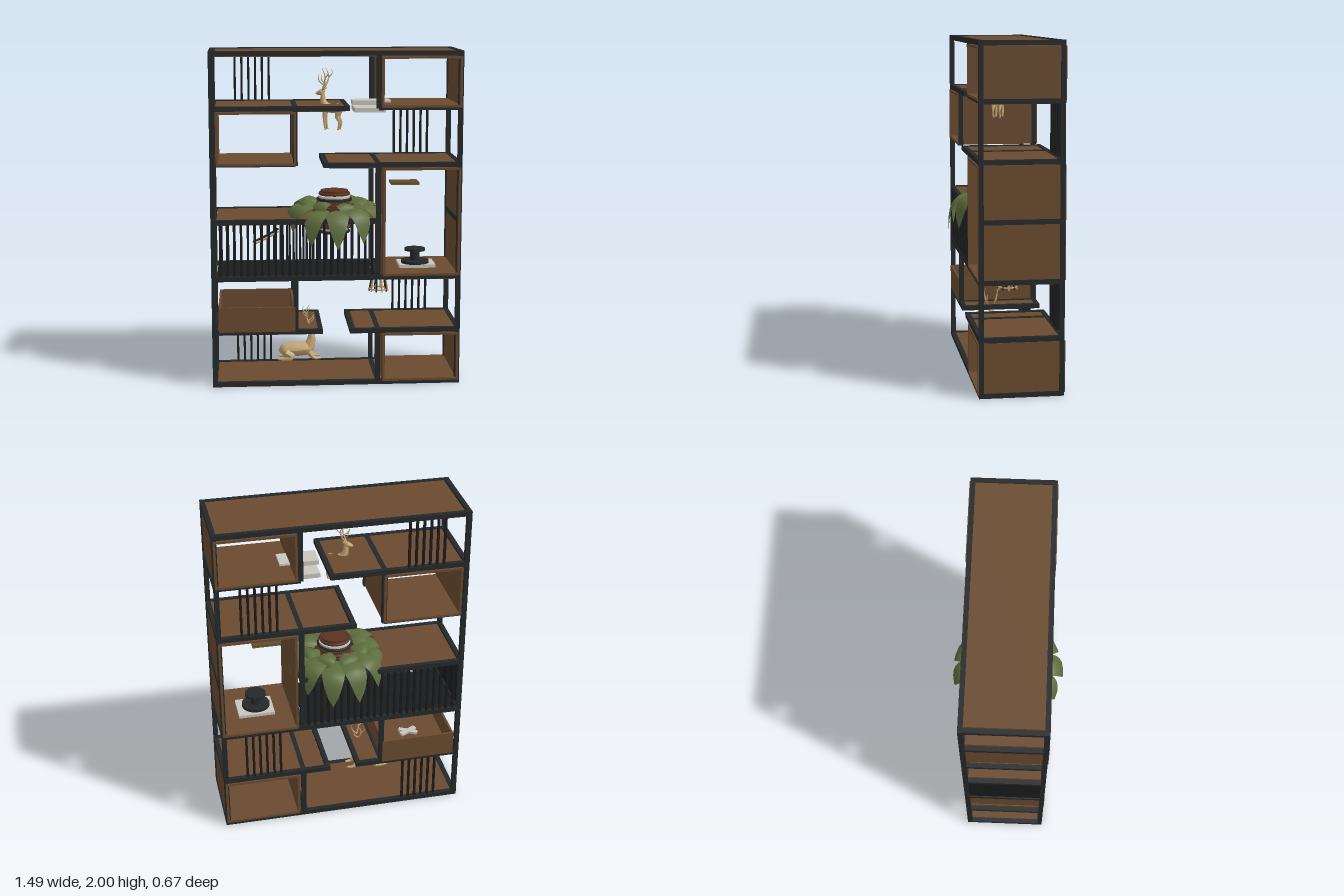
import * as THREE from 'three';

const mat = (name, color, double) => {
  const m = new THREE.MeshStandardMaterial({ color, side: double ? THREE.DoubleSide : THREE.FrontSide });
  m.name = name;
  return m;
};

export function createModel() {
  const black = mat('black metal', 0x25282a);
  const slatBlack = mat('slat black', 0x1a1b1c);
  const wood = mat('brown wood', 0x694a2f);
  const tan = mat('tan', 0xc2a473);
  const pale = mat('pale grey', 0xc9c5bc);
  const green = mat('leaf green', 0x5d6d3d, true);
  const clay = mat('red brown', 0x5a3323);

  const root = new THREE.Group();
  root.name = 'shelfUnit';
  const group = (name) => {
    const g = new THREE.Group();
    g.name = name;
    root.add(g);
    return g;
  };
  const add = (parent, name, geo, material, x = 0, y = 0, z = 0) => {
    const m = new THREE.Mesh(geo, material);
    m.name = name;
    m.position.set(x, y, z);
    parent.add(m);
    return m;
  };
  // box given by its limits on each axis
  const box = (parent, name, material, x0, x1, y0, y1, z0, z1) =>
    add(parent, name, new THREE.BoxGeometry(x1 - x0, y1 - y0, z1 - z0), material,
      (x0 + x1) / 2, (y0 + y1) / 2, (z0 + z1) / 2);

  const L = -0.745, R = 0.74, B = -0.235, F = 0.25, T = 0.028, M = 0.245;
  const levels = [0.014, 0.333, 0.66, 1.0, 1.333, 1.667, 1.986];

  // posts and side rails
  const frame = group('frame');
  const post = (x, y0, y1) => {
    for (const z of [B, F - T]) box(frame, 'post', black, x - T / 2, x + T / 2, y0, y1, z, z + T);
  };
  post(L + T / 2, 0, 2);
  post(R - T / 2, 0, 2);
  for (const [x, a, b] of [[M, 0, 1], [M, 2, 4], [M, 5, 6], [-M, 1, 2], [-M, 4, 5]]) post(x, levels[a], levels[b]);
  const crossRail = (x, y) => box(frame, 'crossRail', black, x - T / 2, x + T / 2, y - T / 2, y + T / 2, B, F);
  for (const y of levels) for (const x of [L + T / 2, R - T / 2]) crossRail(x, y);

  // shelves: front and back rails around a wooden panel
  const shelves = group('shelves');
  const shelf = (x0, x1, y, cross, panel = wood) => {
    for (const z of [B, F - T]) box(shelves, 'rail', black, x0, x1, y - T / 2, y + T / 2, z, z + T);
    box(shelves, 'shelfPanel', panel, x0 + 0.035, x1 - 0.025, y - 0.02, y + 0.009, B + 0.02, F - 0.02);
    for (const x of cross) crossRail(x, y);
  };
  shelf(L, R, levels[6], []);
  shelf(L, 0.075, levels[5], [-M, 0.061]);
  shelf(-0.08, R, levels[4], [M, -0.066]);
  shelf(L, M + T / 2, levels[3], [M]);
  shelf(L, M, levels[2], [M], slatBlack);
  shelf(M, R, levels[2], []);
  shelf(L, -0.085, levels[1], [-M, -0.099]);
  shelf(0.077, R, levels[1], [M, 0.091]);
  for (const z of [B, F - T]) box(shelves, 'rail', black, L, R, 0, T, z, z + T);
  box(shelves, 'floorPanel', wood, L + 0.03, R - 0.025, 0.004, 0.023, B + 0.02, F - 0.02);
  crossRail(M, levels[0]);
  for (const z of [B, F - T]) {
    box(shelves, 'thinRail', black, M, R, 1.656, 1.68, z, z + T);
    box(shelves, 'thinRail', black, L, -M, 1.328, 1.335, z, z + T);
  }

  // wooden compartments open at front and back
  const cubes = group('compartments');
  const compartment = (x0, x1, y0, y1) => {
    const t = 0.014, z0 = B - 0.006, z1 = F + 0.006;
    box(cubes, 'compartmentBottom', wood, x0, x1, y0, y0 + t, z0, z1);
    box(cubes, 'compartmentTop', wood, x0, x1, y1 - t, y1, z0, z1);
    box(cubes, 'compartmentSide', wood, x0, x0 + t, y0 + t, y1 - t, z0, z1);
    box(cubes, 'compartmentSide', wood, x1 - t, x1, y0 + t, y1 - t, z0, z1);
  };
  compartment(0.262, 0.733, 1.67, 1.968);
  compartment(-0.71, -0.24, 1.335, 1.65);
  compartment(0.273, 0.733, 0.667, 1.316);
  compartment(0.273, 0.733, 0.02, 0.316);

  // open drawer
  const drawer = group('drawer');
  box(drawer, 'drawerBottom', wood, -0.705, -0.25, 0.345, 0.357, B, F);
  for (const z of [B - 0.005, F - 0.009]) box(drawer, 'drawerFront', wood, -0.705, -0.25, 0.337, 0.487, z, z + 0.014);
  for (const x of [-0.705, -0.264]) box(drawer, 'drawerSide', wood, x, x + 0.014, 0.345, 0.487, B + 0.009, F - 0.009);

  // slat groups at the back and the slatted compartment
  const slats = group('slats');
  const slat = (x, y0, y1, z) => box(slats, 'slat', slatBlack, x - 0.0065, x + 0.0065, y0, y1, z - 0.008, z + 0.008);
  for (const [x, a] of [[-0.595, 0], [0.385, 1], [0.385, 4], [-0.595, 5]])
    for (let i = 0; i < 6; i++) slat(x + i * 0.0415, levels[a], levels[a + 1], B + 0.014);
  for (let i = 1; i < 24; i++)
    for (const z of [B + 0.01, F - 0.01]) slat(L + 0.014 + i * 0.0409, levels[2], levels[3], z);
  box(slats, 'slattedSide', slatBlack, L + 0.008, L + 0.018, levels[2], levels[3], B + 0.02, F - 0.02);

  // tapered tube through points, one radius per point
  const limb = (parent, name, material, pts, radii, sides = 8) => {
    const path = new THREE.CatmullRomCurve3(pts.map((p) => new THREE.Vector3(...p)));
    const n = (pts.length - 1) * 4;
    const geo = new THREE.TubeGeometry(path, n, 1, sides);
    const pos = geo.attributes.position, v = new THREE.Vector3();
    for (let i = 0; i <= n; i++) {
      const u = path.getUtoTmapping(i / n) * (pts.length - 1);
      const k = Math.min(Math.floor(u), pts.length - 2);
      const r = THREE.MathUtils.lerp(radii[k], radii[k + 1], u - k);
      const c = path.getPointAt(i / n);
      for (let j = 0; j <= sides; j++) {
        const q = i * (sides + 1) + j;
        v.fromBufferAttribute(pos, q).sub(c).multiplyScalar(r).add(c);
        pos.setXYZ(q, v.x, v.y, v.z);
      }
    }
    geo.computeVertexNormals();
    add(parent, name, geo, material);
  };
  // branching antlers, ears and a head, facing +x from the head point
  const deerHead = (g, x, y) => {
    limb(g, 'head', tan, [[x - 0.025, y + 0.008, 0], [x, y, 0], [x + 0.025, y - 0.008, 0], [x + 0.035, y - 0.01, 0]], [0.002, 0.018, 0.01, 0.002]);
    for (const s of [-1, 1]) {
      limb(g, 'ear', tan, [[x - 0.01, y + 0.012, s * 0.01], [x - 0.02, y + 0.022, s * 0.025], [x - 0.025, y + 0.03, s * 0.038]], [0.004, 0.007, 0.001], 6);
      limb(g, 'antler', tan, [[x - 0.008, y + 0.01, s * 0.008], [x - 0.03, y + 0.06, s * 0.03], [x - 0.035, y + 0.1, s * 0.04], [x - 0.015, y + 0.145, s * 0.035]], [0.005, 0.005, 0.004, 0.001], 6);
      limb(g, 'antlerTine', tan, [[x - 0.02, y + 0.045, s * 0.024], [x + 0.005, y + 0.07, s * 0.03], [x + 0.01, y + 0.105, s * 0.028]], [0.004, 0.004, 0.001], 6);
      limb(g, 'antlerTine', tan, [[x - 0.034, y + 0.085, s * 0.037], [x - 0.055, y + 0.11, s * 0.045], [x - 0.05, y + 0.135, s * 0.05]], [0.004, 0.003, 0.001], 6);
    }
  };

  // standing deer, built facing +x and turned round
  const stag = group('standingDeer');
  limb(stag, 'body', tan, [[-0.062, 1.645, 0], [-0.045, 1.65, 0], [0, 1.648, 0], [0.04, 1.655, 0], [0.06, 1.66, 0]], [0.003, 0.028, 0.026, 0.03, 0.003], 12);
  limb(stag, 'neck', tan, [[0.035, 1.655, 0], [0.055, 1.69, 0], [0.06, 1.745, 0]], [0.027, 0.019, 0.012]);
  deerHead(stag, 0.068, 1.745);
  for (const s of [-1, 1]) {
    limb(stag, 'frontLeg', tan, [[0.04, 1.65, s * 0.016], [0.045, 1.59, s * 0.02], [0.036, 1.522, s * 0.02]], [0.014, 0.008, 0.006]);
    limb(stag, 'backLeg', tan, [[-0.045, 1.65, s * 0.016], [-0.035, 1.6, s * 0.02], [-0.05, 1.57, s * 0.02], [-0.042, 1.522, s * 0.02]], [0.02, 0.012, 0.007, 0.006]);
  }
  stag.rotation.y = Math.PI - 0.35;
  stag.position.set(-0.015, 0, 0.035);

  // resting deer
  const rest = group('restingDeer');
  limb(rest, 'body', tan, [[-0.345, 0.165, 0], [-0.32, 0.17, 0], [-0.25, 0.175, 0], [-0.17, 0.18, 0], [-0.125, 0.185, 0]], [0.004, 0.04, 0.046, 0.042, 0.004], 12);
  limb(rest, 'neck', tan, [[-0.16, 0.19, 0], [-0.145, 0.24, 0], [-0.145, 0.3, 0]], [0.036, 0.025, 0.014]);
  deerHead(rest, -0.14, 0.3);
  for (const s of [-1, 1]) {
    limb(rest, 'frontLeg', tan, [[-0.16, 0.16, s * 0.025], [-0.13, 0.128, s * 0.035], [-0.09, 0.125, s * 0.03]], [0.02, 0.01, 0.007]);
    limb(rest, 'backLeg', tan, [[-0.3, 0.16, s * 0.03], [-0.26, 0.135, s * 0.045], [-0.32, 0.123, s * 0.045], [-0.35, 0.123, s * 0.04]], [0.03, 0.018, 0.01, 0.006]);
  }
  rest.position.z = 0.06;

  // basket of stacked rings
  const plant = group('plant');
  for (let i = 0; i < 8; i++) {
    const y = 0.9 + i * 0.033, r = 0.13 - Math.abs(i - 3.5) * 0.012;
    const ring = add(plant, 'basketRing', new THREE.TorusGeometry(r, 0.009, 6, 28), i % 2 ? clay : black, 0, y, 0);
    ring.rotation.x = Math.PI / 2;
    add(plant, 'basketBand', new THREE.CylinderGeometry(r - 0.004, r - 0.004, 0.012, 28), i % 3 ? clay : pale, 0, y + 0.014, 0);
  }
  // arching leaves, widest past the middle, hanging over the shelf edge
  const leaf = (angle, length, height, width, drop) => {
    const geo = new THREE.PlaneGeometry(1, 1, 6, 10);
    const pos = geo.attributes.position;
    for (let i = 0; i < pos.count; i++) {
      const t = pos.getY(i) + 0.5, s = pos.getX(i) * 2;
      const w = width * Math.pow(Math.sin(Math.PI * Math.min(0.06 + 0.94 * t, 1)), 0.6);
      const y = height + 0.02 * Math.sin(Math.PI * t) - drop * t ** 4 - 0.015 * s * s;
      pos.setXYZ(i, s * w, y, 0.1 + (length - 0.1) * Math.sin(t * Math.PI / 2));
    }
    geo.computeVertexNormals();
    add(plant, 'leaf', geo, green).rotation.y = angle;
  };
  for (let i = 0; i < 13; i++) {
    const a = (i / 13) * Math.PI * 2;
    const over = Math.abs(Math.cos(a));
    leaf(a, 0.28 + 0.06 * over, 1.04 + 0.012 * (i % 3), 0.068, 0.06 + 0.12 * over);
  }
  for (let i = 0; i < 8; i++) leaf(i * 0.785 + 0.3, 0.22, 1.075 + 0.01 * (i % 2), 0.055, 0.05);

  // pale books and slabs
  const books = group('books');
  box(books, 'book', pale, 0.115, 0.3, 1.628, 1.656, -0.14, 0.1);
  box(books, 'book', pale, 0.105, 0.335, 1.67, 1.697, -0.06, 0.07);
  box(books, 'book', pale, 0.355, 0.6, 0.626, 0.658, -0.1, 0.12);
  box(books, 'book', pale, 0.39, 0.61, 0.672, 0.7, -0.08, 0.1);
  for (const s of [-1, 1]) box(books, 'drawerBook', pale, -0.54, -0.42, 0.36, 0.375, -0.01, 0.02).rotation.y = s * 0.5;

  // spool and small plate in the tall compartment
  const spool = group('spool');
  for (const [r, h, y] of [[0.085, 0.018, 0.708], [0.03, 0.07, 0.745], [0.064, 0.014, 0.783]])
    add(spool, 'spoolDisc', new THREE.CylinderGeometry(r, r, h, 24), black, 0.492, y, 0.02);
  const plate = group('smallPlate');
  box(plate, 'plateTop', wood, 0.345, 0.515, 1.188, 1.196, -0.1, 0.03);
  box(plate, 'plateBase', green, 0.345, 0.515, 1.18, 1.188, -0.1, 0.03);

  // flared stand of thin rods
  const stand = group('rodStand');
  for (let i = 0; i < 10; i++) {
    const a = (i / 10) * Math.PI * 2, c = Math.cos(a), s = Math.sin(a);
    limb(stand, 'rod', i % 2 ? black : tan, [[c * 0.035, 0.645, s * 0.035], [c * 0.047, 0.585, s * 0.047], [c * 0.058, 0.525, s * 0.058]], [0.005, 0.005, 0.005], 6);
  }
  const hoop = add(stand, 'hoop', new THREE.TorusGeometry(0.055, 0.005, 6, 24), tan, 0, 0.54, 0);
  hoop.rotation.x = Math.PI / 2;
  stand.position.set(0.27, 0, 0.02);

  // leaning rods inside the slatted compartment
  const rods = group('leaningRods');
  for (const d of [0, 0.02]) limb(rods, 'leaningRod', d ? black : tan, [[-0.495, 0.82 + d, d], [-0.42, 0.855 + d, d], [-0.34, 0.9 + d, d]], [0.006, 0.007, 0.006], 6);

  return root;
}
